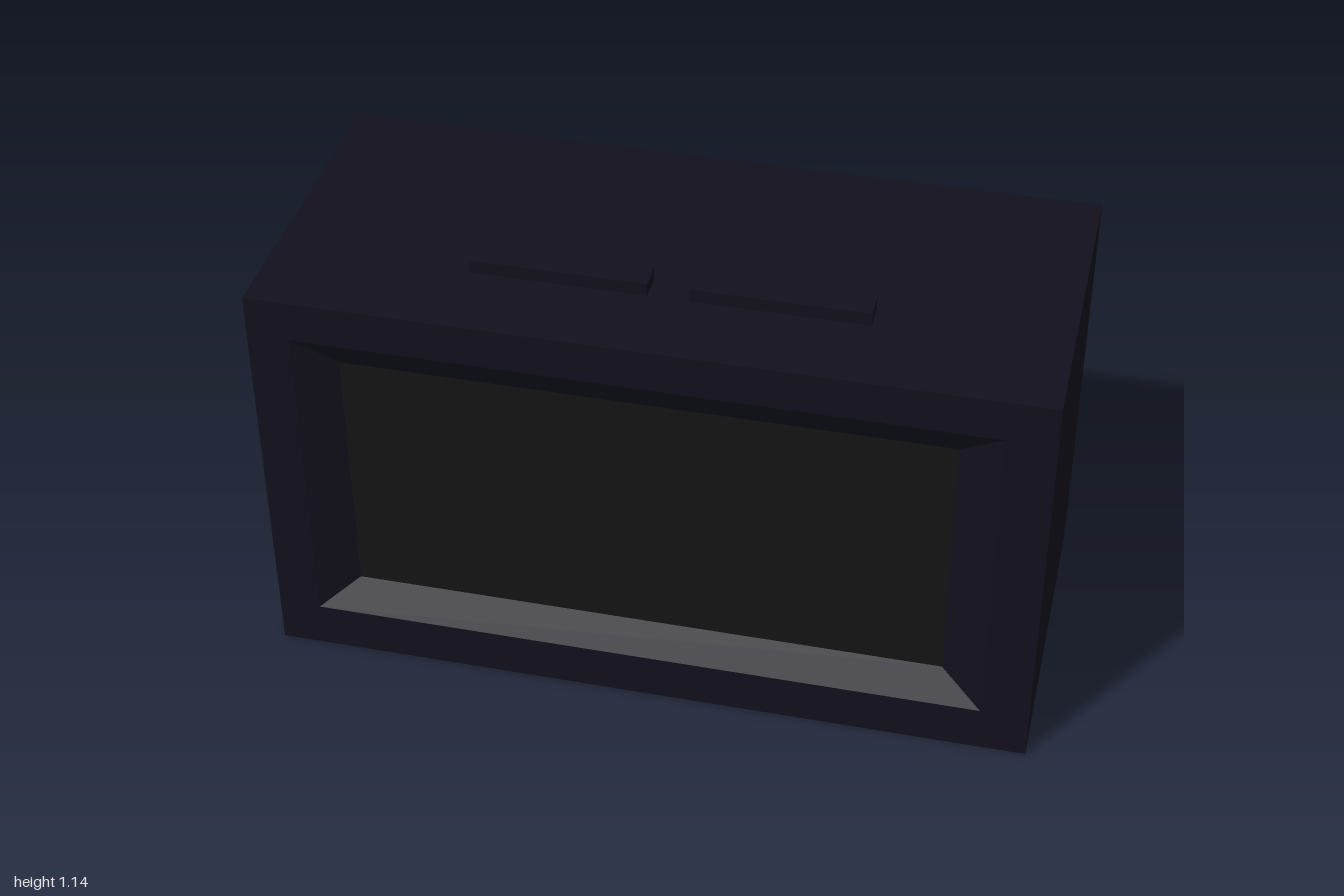
import * as THREE from 'three';

const material = (color) => new THREE.MeshStandardMaterial({ color, side: THREE.DoubleSide });
const BACK = -0.355, FRONT = 0.53, HEIGHT = 1.11, RECESS = 0.05;

// Corners of a rectangle, counter-clockwise seen from the front
const corners = (x0, x1, y0, y1) => [[x0, y0], [x1, y0], [x1, y1], [x0, y1]];

// Four sloping strips joining two rectangles at different depths
function slopedFrame(outer, zOuter, inner, zInner) {
  const p = [];
  for (let i = 0; i < 4; i++) {
    const j = (i + 1) % 4;
    const a = [...outer[i], zOuter], b = [...outer[j], zOuter];
    const c = [...inner[j], zInner], d = [...inner[i], zInner];
    p.push(...a, ...b, ...c, ...a, ...c, ...d);
  }
  const g = new THREE.BufferGeometry();
  g.setAttribute('position', new THREE.Float32BufferAttribute(p, 3));
  g.computeVertexNormals();
  return g;
}

const toPoints = (list) => list.map(([x, y]) => new THREE.Vector2(x, y));

export function createModel() {
  const model = new THREE.Group();
  const add = (name, geometry, mat, x = 0, y = 0, z = 0) => {
    const mesh = new THREE.Mesh(geometry, mat);
    mesh.name = name;
    mesh.position.set(x, y, z);
    model.add(mesh);
    return mesh;
  };
  const dark = material(0x11101c), black = material(0x141414);

  // Case: a box left open at the front
  const box = new THREE.BoxGeometry(2, HEIGHT, FRONT - BACK);
  const index = Array.from(box.index.array);
  index.splice(24, 6);
  box.setIndex(index);
  box.clearGroups();
  add('case', box, dark, 0, HEIGHT / 2, (FRONT + BACK) / 2);

  // Front panel with its opening, sloped bezel and recessed screen
  const opening = corners(-0.89, 0.875, 0.125, 1.0);
  const screen = corners(-0.785, 0.765, 0.21, 0.915);
  const panel = new THREE.Shape(toPoints(corners(-1, 1, 0, HEIGHT)));
  panel.holes.push(new THREE.Path(toPoints(opening)));
  add('frontPanel', new THREE.ShapeGeometry(panel), dark, 0, 0, FRONT);
  add('bezel', slopedFrame(opening, FRONT, screen, FRONT - RECESS), dark);
  add('screen', new THREE.ShapeGeometry(new THREE.Shape(toPoints(screen))), black, 0, 0, FRONT - RECESS);

  // Two long buttons on top
  for (const [name, x] of [['rightButton', -0.265], ['leftButton', 0.29]]) {
    add(name, new THREE.BoxGeometry(0.45, 0.055, 0.07), dark, x, 1.1175, 0.265);
  }

  // Round sockets on the back, with stepped rings in the open end
  const socket = (name, color, x, y, r, length) => {
    const profile = [
      [0, 0], [1, 0], [1, length], [0.78, length], [0.78, length - 0.02],
      [0.6, length - 0.02], [0.6, length], [0.46, length], [0.46, length - 0.03],
      [0.24, length - 0.03], [0.24, length - 0.01], [0, length - 0.01],
    ];
    // Each straight run is its own lathe, which keeps the edges sharp
    const group = new THREE.Group();
    group.name = name;
    const mat = material(color);
    for (let i = 1; i < profile.length; i++) {
      const run = [profile[i - 1], profile[i]].map(([a, b]) => [a * r, b]);
      const ring = new THREE.Mesh(new THREE.LatheGeometry(toPoints(run), 32), mat);
      ring.name = name + 'Ring';
      group.add(ring);
    }
    group.rotation.x = -Math.PI / 2;
    group.position.set(x, y, BACK);
    model.add(group);
  };
  socket('redSocket', 0xd0101c, -0.713, 0.24, 0.079, 0.148);
  socket('blueSocket', 0x2430dc, 0.708, 0.242, 0.084, 0.177);

  return model;
}
